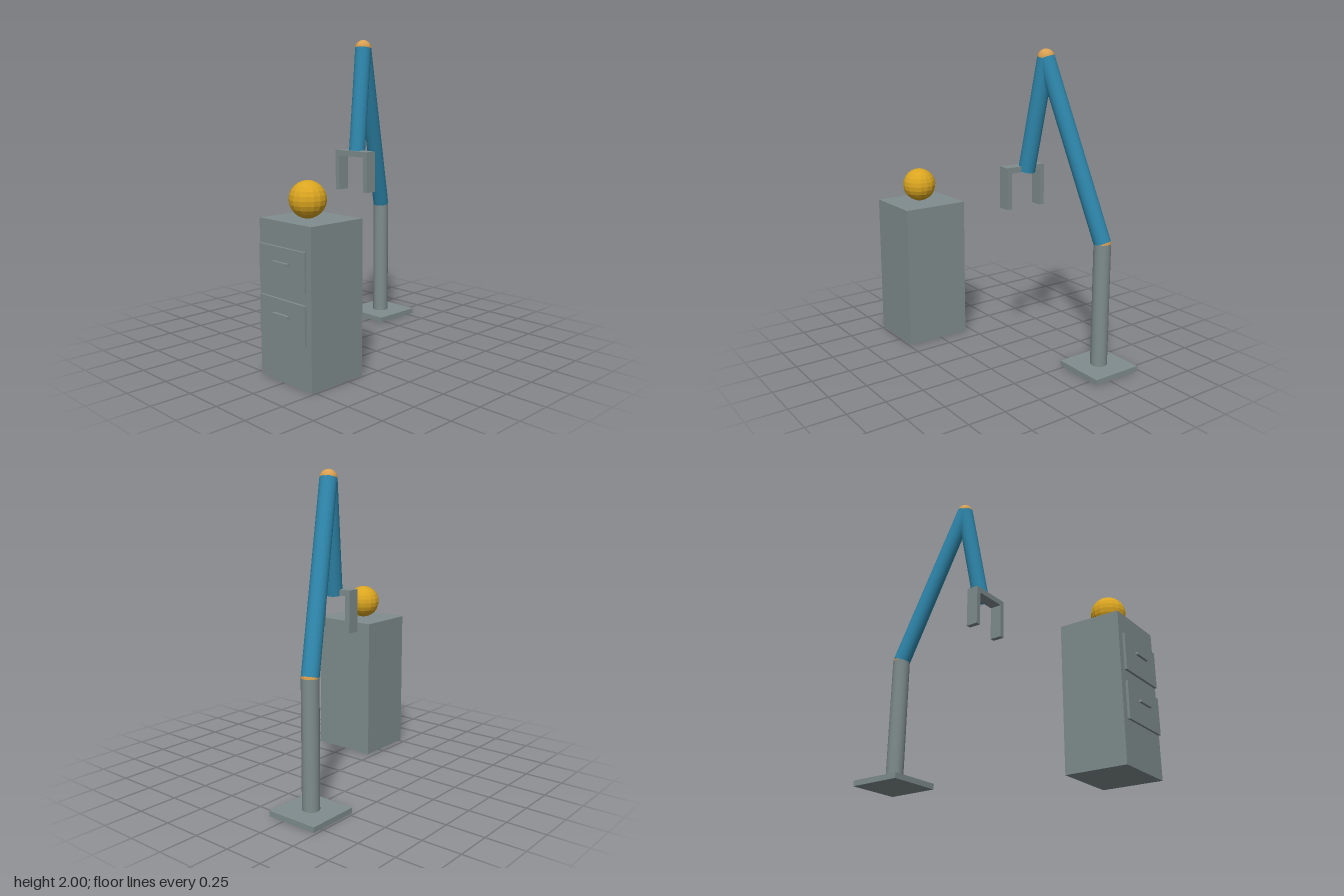
import * as THREE from 'three';

const material = (name, color, options = {}) => {
  const m = new THREE.MeshStandardMaterial({ color, ...options });
  m.name = name;
  return m;
};

export function createModel() {
  const grey = material('steel grey', 0x7f8c8d);
  const blue = material('arm blue', 0x2e86ab);
  const orange = material('joint orange', 0xd9a050, { flatShading: true });
  const gold = material('ball gold', 0xdaa520, { flatShading: true });

  const model = new THREE.Group();
  model.name = 'robotArmAndCabinet';

  const group = (name) => {
    const g = new THREE.Group();
    g.name = name;
    model.add(g);
    return g;
  };
  const add = (parent, name, geometry, mat) => {
    const mesh = new THREE.Mesh(geometry, mat);
    mesh.name = name;
    parent.add(mesh);
    return mesh;
  };
  // Box given by its low and high corners
  const box = (parent, name, [x0, y0, z0], [x1, y1, z1]) => {
    const mesh = add(parent, name, new THREE.BoxGeometry(x1 - x0, y1 - y0, z1 - z0), grey);
    mesh.position.set((x0 + x1) / 2, (y0 + y1) / 2, (z0 + z1) / 2);
  };
  const ball = (parent, name, centre, radius, mat) =>
    add(parent, name, new THREE.SphereGeometry(radius, 16, 12), mat).position.copy(centre);
  // Round bar between two points
  const bar = (parent, name, a, b, radius, mat) => {
    const dir = b.clone().sub(a);
    const mesh = add(parent, name, new THREE.CylinderGeometry(radius, radius, dir.length(), 24), mat);
    mesh.position.copy(a).lerp(b, 0.5);
    mesh.quaternion.setFromUnitVectors(new THREE.Vector3(0, 1, 0), dir.normalize());
  };

  // Robot arm: foot, column, two links and their joints
  const foot = new THREE.Vector3(-0.313, 0.03, -0.641);
  const shoulder = new THREE.Vector3(-0.313, 0.834, -0.641);
  const elbow = new THREE.Vector3(-0.144, 1.946, -0.276);
  const wrist = new THREE.Vector3(-0.09, 1.235, -0.162);
  const r = 0.054;
  const arm = group('robotArm');
  box(arm, 'basePlate', [-0.485, 0, -0.813], [-0.141, 0.035, -0.469]);
  bar(arm, 'column', foot, shoulder, r, grey);
  bar(arm, 'upperArm', shoulder, elbow, r, blue);
  bar(arm, 'forearm', elbow, wrist, r, blue);
  ball(arm, 'shoulderJoint', shoulder, r, orange);
  ball(arm, 'elbowJoint', elbow, r, orange);

  // Gripper: palm with two fingers
  const gripper = group('gripper');
  box(gripper, 'palm', [-0.222, 1.233, -0.174], [0.068, 1.27, -0.093]);
  for (const [name, x] of [['rightFinger', -0.222], ['leftFinger', 0.034]]) {
    box(gripper, name, [x, 1.003, -0.174], [x + 0.034, 1.233, -0.093]);
  }

  // Cabinet with two drawer fronts standing slightly clear of it
  const cabinet = group('cabinet');
  box(cabinet, 'cabinetBody', [0.041, 0, 0.371], [0.485, 0.945, 0.771]);
  for (const [name, y] of [['lower', 0.268], ['upper', 0.57]]) {
    box(cabinet, name + 'Drawer', [0.067, y, 0.78], [0.457, y + 0.233, 0.796]);
    box(cabinet, name + 'Handle', [0.196, y + 0.134, 0.796], [0.328, y + 0.15, 0.813]);
  }

  // Ball resting on the cabinet
  ball(model, 'ball', new THREE.Vector3(0.262, 1.056, 0.593), 0.111, gold);

  return model;
}
